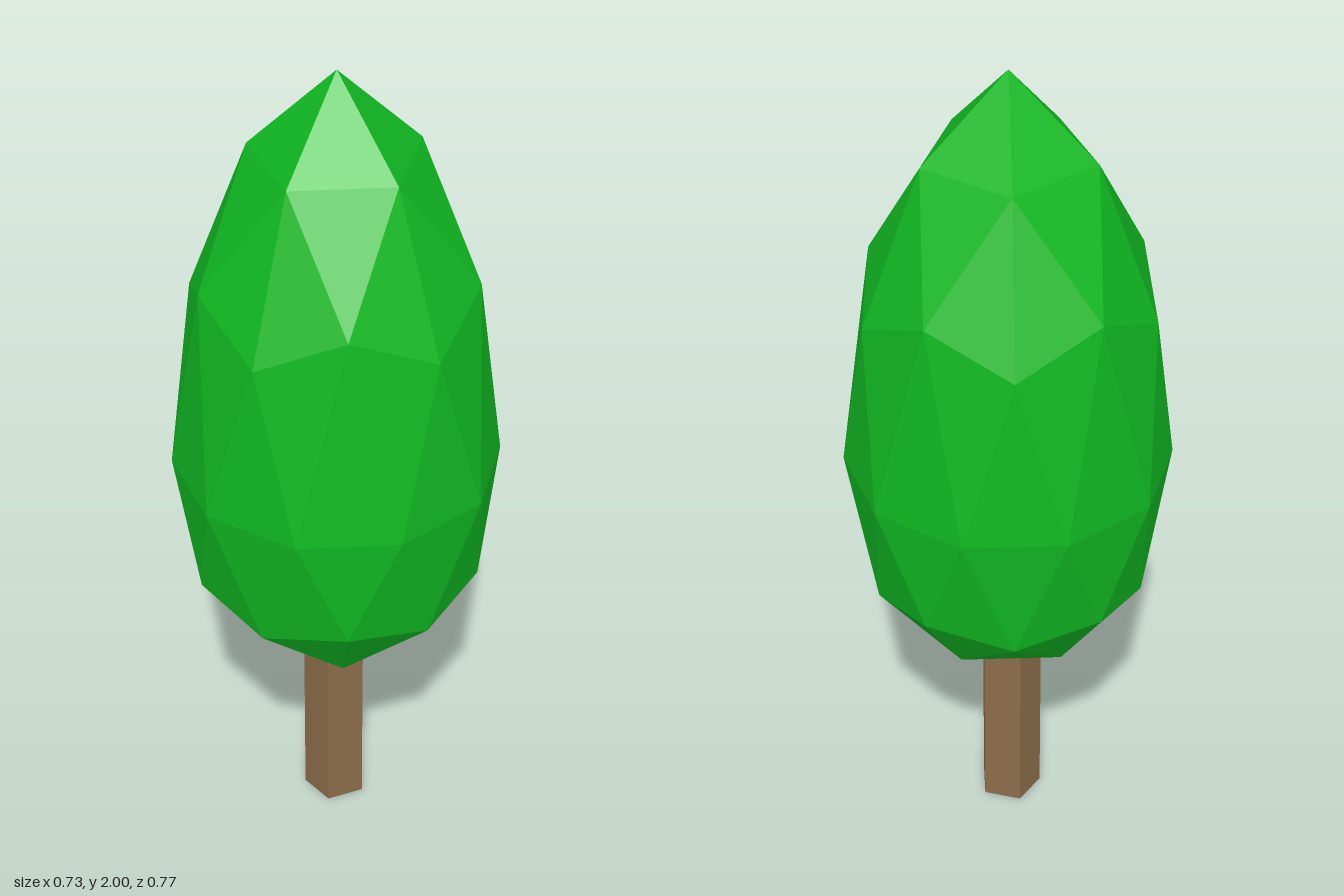
import * as THREE from 'three';

// Unit-sphere ring heights and the heights they take in the crown
const RINGS = [
  [1, 2.0], [0.851, 1.804], [0.526, 1.523], [0.447, 1.432], [0, 1.019],
  [-0.447, 0.732], [-0.526, 0.69], [-0.851, 0.536], [-1, 0.483],
];

function crownHeight(y) {
  const nearest = RINGS.reduce((a, b) => (Math.abs(b[0] - y) < Math.abs(a[0] - y) ? b : a));
  return nearest[1];
}

function createCrown() {
  // Icosphere turned so that a corner points straight up
  const geometry = new THREE.IcosahedronGeometry(1, 1);
  geometry.rotateX(-Math.atan2((1 + Math.sqrt(5)) / 2, 1));
  geometry.rotateY(Math.PI / 2);

  // Stretch each ring to its height, giving a pointed top and a blunt base
  const p = geometry.attributes.position;
  const radius = 0.384;
  for (let i = 0; i < p.count; i++) {
    p.setXYZ(i, p.getX(i) * radius, crownHeight(p.getY(i)), p.getZ(i) * radius);
  }
  geometry.computeVertexNormals();

  const crown = new THREE.Mesh(
    geometry,
    new THREE.MeshStandardMaterial({ color: 0x10b822, flatShading: true })
  );
  crown.name = 'crown';
  return crown;
}

function createTrunk() {
  // Five-sided post with one edge at the back, ending inside the crown
  const height = 0.54;
  const geometry = new THREE.CylinderGeometry(0.078, 0.078, height, 5, 1, false, Math.PI);
  geometry.translate(-0.002, height / 2, -0.001);
  const trunk = new THREE.Mesh(
    geometry,
    new THREE.MeshStandardMaterial({ color: 0x8c6c4a, flatShading: true })
  );
  trunk.name = 'trunk';
  return trunk;
}

export function createModel() {
  const tree = new THREE.Group();
  tree.name = 'tree';
  tree.add(createTrunk(), createCrown());
  return tree;
}
